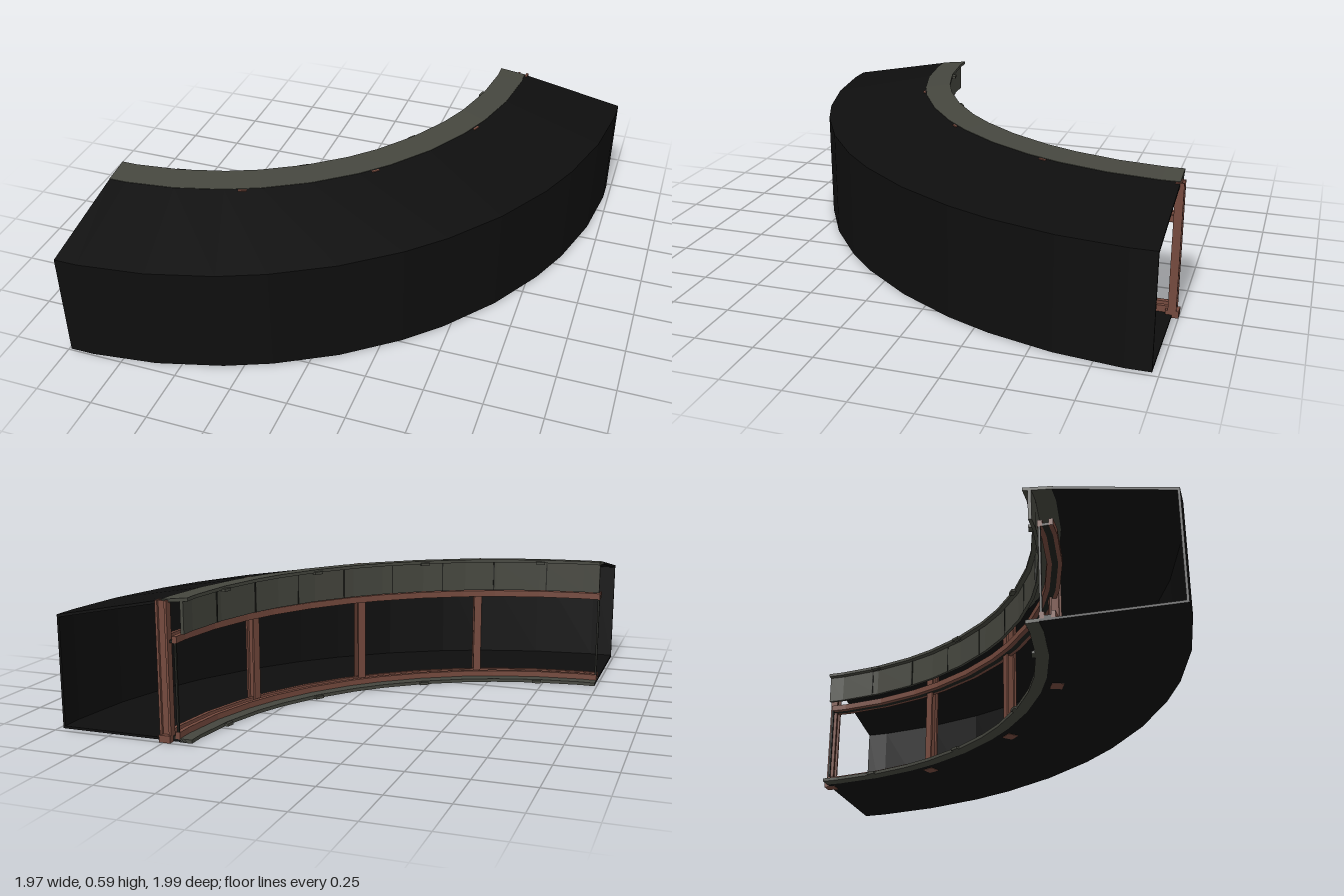
import * as THREE from 'three';

const CX = -0.989, CZ = -0.973;            // centre of the quarter curve
const DEG = Math.PI / 180;
const mat = (name, color) => {
  const m = new THREE.MeshStandardMaterial({ color, flatShading: true, side: THREE.DoubleSide });
  m.name = name;
  return m;
};

// Facet angles: four bays, each straight across its joint with the next
const ANGLES = [0];
for (let bay = 0; bay < 4; bay++) for (const a of [3, 11.25, 19.5]) ANGLES.push(bay * 22.5 + a);
ANGLES.push(90);

// Sweep a closed counter-clockwise [radius, height] profile round the curve
function sweep(profile) {
  const pos = [];
  const point = ([r, y], i) => {
    const end = i === 0 || i === ANGLES.length - 1;
    const rr = end ? r * Math.cos(3 * DEG) : r, t = ANGLES[i] * DEG;
    return [CX + rr * Math.cos(t), y, CZ + rr * Math.sin(t)];
  };
  for (let i = 0; i < ANGLES.length - 1; i++) {
    profile.forEach((p, k) => {
      const q = profile[(k + 1) % profile.length];
      const a = point(p, i), b = point(q, i), c = point(q, i + 1), d = point(p, i + 1);
      pos.push(...a, ...b, ...c, ...a, ...c, ...d);
    });
  }
  const tris = THREE.ShapeUtils.triangulateShape(profile.map(p => new THREE.Vector2(...p)), []);
  for (const [a, b, c] of tris) {
    for (const k of [c, b, a]) pos.push(...point(profile[k], 0));
    for (const k of [a, b, c]) pos.push(...point(profile[k], ANGLES.length - 1));
  }
  const g = new THREE.BufferGeometry();
  g.setAttribute('position', new THREE.Float32BufferAttribute(pos, 3));
  g.computeVertexNormals();
  return g;
}

const rect = (r0, r1, y0, y1) => [[r0, y0], [r1, y0], [r1, y1], [r0, y1]];

export function createModel() {
  const black = mat('black cladding', 0x0e0e0e);
  const grey = mat('grey trim', 0x45463e);
  const brown = mat('brown steel', 0x74493d);
  const dark = mat('dark joint', 0x20211d);

  const model = new THREE.Group();
  model.name = 'curvedGallery';
  const add = (name, geo, m, parent = model) => {
    const mesh = new THREE.Mesh(geo, m);
    mesh.name = name;
    parent.add(mesh);
    return mesh;
  };
  // Box on the curve: radius, angle, bottom, then radial, vertical and tangential size
  const box = (name, m, r, deg, y, dr, h, dt, parent) => {
    const t = deg * DEG;
    const b = add(name, new THREE.BoxGeometry(dr, h, dt), m, parent);
    b.position.set(CX + r * Math.cos(t), y + h / 2, CZ + r * Math.sin(t));
    b.rotation.y = -t;
    return b;
  };

  // Floor, outer wall and sloping roof in one thin shell, open inwards and at both ends
  add('shell', sweep([
    [1.40, 0.002], [1.97, 0.002], [1.97, 0.48], [1.49, 0.572],
    [1.49, 0.56], [1.96, 0.47], [1.96, 0.012], [1.40, 0.012],
  ]), black);

  // Grey edge trim along the roof and the floor
  add('roofEdge', sweep([[1.375, 0.573], [1.495, 0.56], [1.495, 0.573], [1.375, 0.587]]), grey);
  add('floorEdge', sweep(rect(1.378, 1.43, 0, 0.015)), grey);

  // Hanging fascia with panel joints
  add('fascia', sweep(rect(1.396, 1.41, 0.44, 0.575)), grey);
  for (let i = 1; i < 9; i++) box('fasciaJoint', dark, 1.395, i * 10, 0.44, 0.008, 0.13, 0.005);

  // Twin steel rails above and below the opening, joined by a thin web
  for (const [name, y] of [['upperRail', 0.402], ['lowerRail', 0.012]]) {
    add(name + 'Inner', sweep(rect(1.43, 1.45, y, y + 0.028)), brown);
    add(name + 'Outer', sweep(rect(1.475, 1.492, y, y + 0.028)), brown);
    add(name + 'Web', sweep(rect(1.45, 1.475, y, y + 0.012)), dark);
  }

  // H-section posts at the bay joints
  for (let i = 0; i < 4; i++) {
    const post = new THREE.Group();
    post.name = 'post';
    model.add(post);
    const a = i * 22.5;
    for (const r of [1.463, 1.503]) box('postFlange', brown, r, a, 0, 0.01, 0.572, 0.034, post);
    box('postWeb', brown, 1.483, a, 0, 0.034, 0.57, 0.012, post);
    box('postFoot', brown, 1.483, a, 0, 0.05, 0.03, 0.054, post);
  }

  // Slim rods closing each end of the opening
  for (const a of [0.2, 89.8]) box('endRod', dark, 1.436, a, 0.01, 0.009, 0.4, 0.009);

  // Small clips at the middle of each bay
  for (let i = 0; i < 4; i++) {
    const a = 11.25 + i * 22.5;
    box('roofClip', grey, 1.37, a, 0.567, 0.022, 0.012, 0.04);
    box('floorClip', grey, 1.374, a, 0, 0.022, 0.012, 0.04);
  }
  return model;
}
